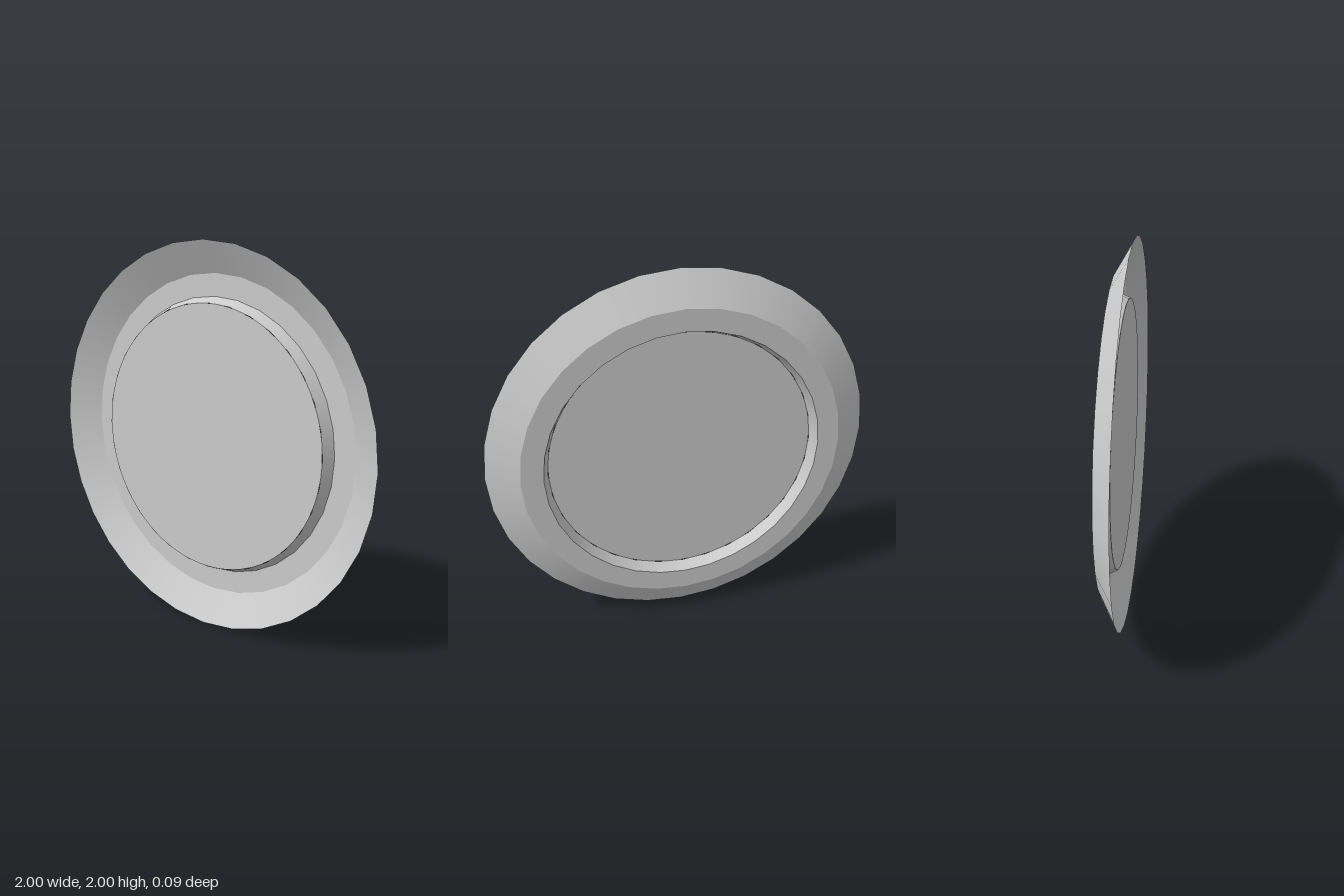
import * as THREE from 'three';

const SIDES = 32;

export function createModel() {
  const group = new THREE.Group();
  const material = new THREE.MeshStandardMaterial({ color: 0xcccccc, side: THREE.DoubleSide });

  const add = (name, geometry) => {
    const mesh = new THREE.Mesh(geometry, material);
    mesh.name = name;
    mesh.position.y = 1;
    group.add(mesh);
  };

  // Ring between two [radius, z] points: smooth around, sharp where bands meet
  const band = (name, from, to) => {
    const points = [from, to].map(([r, z]) => new THREE.Vector2(r, z));
    add(name, new THREE.LatheGeometry(points, SIDES).rotateX(Math.PI / 2));
  };

  // Thin dish: flared rim, flat floor, and a step up to the centre panel
  const rimEdge = [1, 0.047];
  const floorOuter = [0.835, -0.047];
  const floorInner = [0.72, -0.047];
  const panelEdge = [0.692, 0.014];
  band('flaredRim', floorOuter, rimEdge);
  band('floorRing', floorInner, floorOuter);
  band('stepWall', floorInner, panelEdge);

  // Rounder flat disc closing the centre
  add('centrePanel', new THREE.CircleGeometry(0.69, 96).translate(0, 0, panelEdge[1]));

  return group;
}
